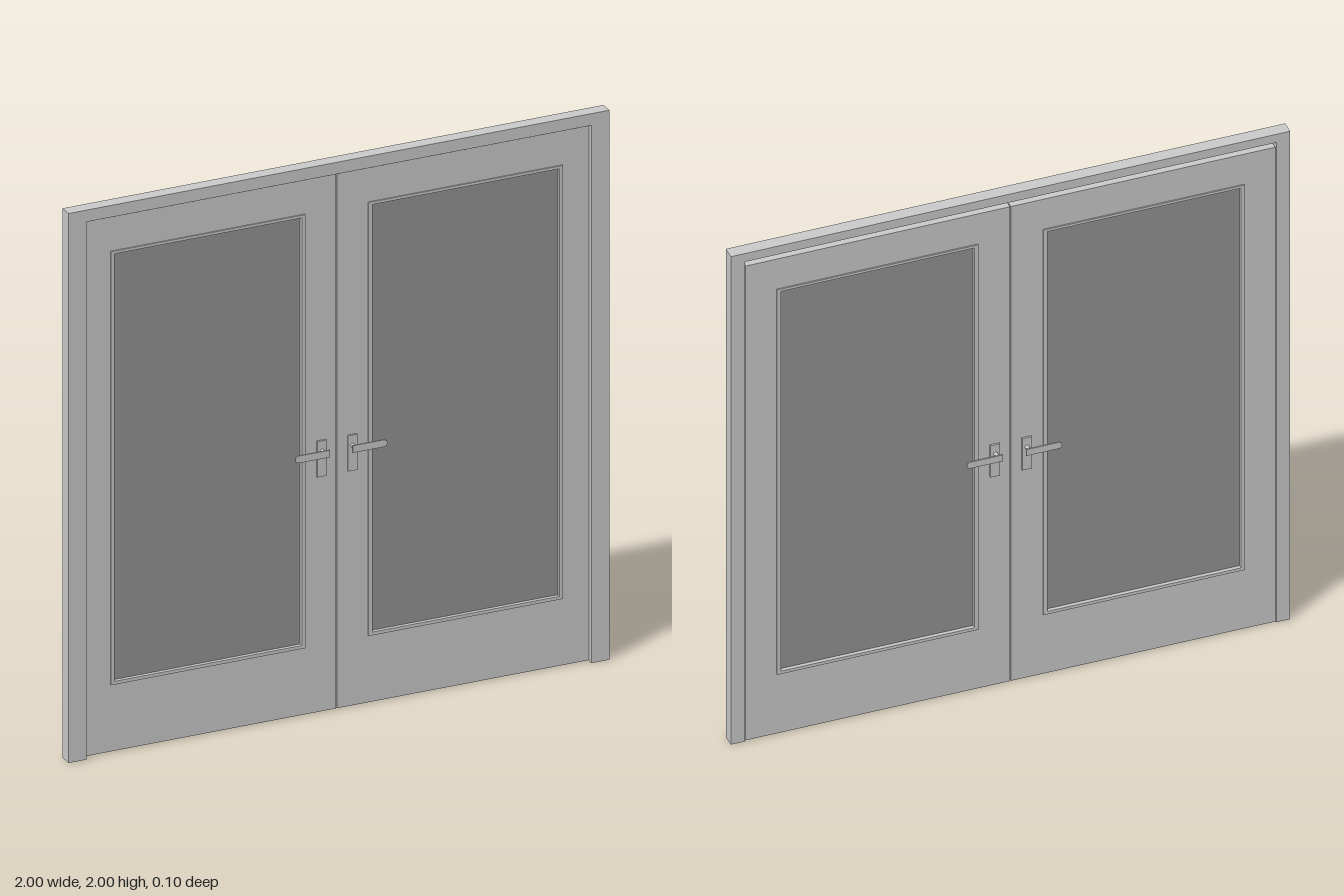
import * as THREE from 'three';

const grey = new THREE.MeshStandardMaterial({ color: 0xcccccc });
const paneGrey = new THREE.MeshStandardMaterial({ color: 0x959595 });

function rectPath(path, x0, y0, x1, y1) {
  path.moveTo(x0, y0);
  path.lineTo(x1, y0);
  path.lineTo(x1, y1);
  path.lineTo(x0, y1);
  path.closePath();
  return path;
}

// Extrude a shape between two depths
function slab(name, shape, z0, z1, material = grey) {
  const geo = new THREE.ExtrudeGeometry(shape, { depth: z1 - z0, bevelEnabled: false, curveSegments: 8 });
  geo.translate(0, 0, z0);
  const mesh = new THREE.Mesh(geo, material);
  mesh.name = name;
  return mesh;
}

function rectRing(outer, inner) {
  const shape = rectPath(new THREE.Shape(), ...outer);
  shape.holes.push(rectPath(new THREE.Path(), ...inner));
  return shape;
}

// Upside-down U: two jambs and a header around the opening
function frameShape(openX, openY) {
  const s = new THREE.Shape();
  [[-1, 0], [-openX, 0], [-openX, openY], [openX, openY], [openX, 0], [1, 0], [1, 2], [-1, 2]]
    .forEach(([x, y], i) => (i ? s.lineTo(x, y) : s.moveTo(x, y)));
  s.closePath();
  return s;
}

// Flat lever with a rounded outer tip
function leverShape(x0, x1, y, r) {
  const s = new THREE.Shape();
  s.moveTo(x0, y - r);
  s.lineTo(x1 - r, y - r);
  s.absarc(x1 - r, y, r, -Math.PI / 2, Math.PI / 2, false);
  s.lineTo(x0, y + r);
  s.closePath();
  return s;
}

// Handle on one face; side is +1 at the front, -1 at the back
function handle(side, mirror) {
  const g = new THREE.Group();
  g.name = side > 0 ? 'frontHandle' : 'backHandle';
  const span = (a, b) => (side > 0 ? [a, b] : [-b, -a]);
  const sx = (a, b) => (mirror > 0 ? [a, b] : [-b, -a]);
  const [p0, p1] = sx(0.04, 0.074);
  g.add(slab('handlePlate', rectPath(new THREE.Shape(), p0, 0.86, p1, 0.99), ...span(0.0125, 0.02)));

  const lever = leverShape(0.042, 0.17, 0.953, 0.013);
  const pts = lever.getPoints(8).map((p) => new THREE.Vector2(p.x * mirror, p.y));
  g.add(slab('lever', new THREE.Shape(pts), ...span(0.047, 0.052)));

  const spindle = new THREE.Mesh(new THREE.CylinderGeometry(0.007, 0.007, 0.03, 16), grey);
  spindle.name = 'spindle';
  spindle.rotation.x = Math.PI / 2;
  spindle.position.set(0.056 * mirror, 0.953, 0.034 * side);
  g.add(spindle);
  return g;
}

// One leaf: panel with window, raised trim, pane and both handles
function doorLeaf(name, mirror) {
  const g = new THREE.Group();
  g.name = name;
  const box = (x0, y0, x1, y1) => (mirror > 0 ? [x0, y0, x1, y1] : [-x1, y0, -x0, y1]);
  const trimOuter = box(0.116, 0.246, 0.836, 1.824);
  const trimInner = box(0.13, 0.258, 0.823, 1.814);
  const opening = box(0.123, 0.252, 0.83, 1.819);

  g.add(slab('doorPanel', rectRing(box(0.0015, 0.003, 0.947, 1.947), opening), -0.013, 0.013));
  g.add(slab('windowTrim', rectRing(trimOuter, trimInner), -0.018, 0.018));
  g.add(slab('windowPane', rectPath(new THREE.Shape(), ...opening), -0.004, 0.004, paneGrey));
  g.add(handle(1, mirror), handle(-1, mirror));
  return g;
}

export function createModel() {
  const model = new THREE.Group();
  model.name = 'doubleDoor';

  // Rebated frame: wide opening behind, narrower stop in front
  const frame = new THREE.Group();
  frame.name = 'doorFrame';
  frame.add(slab('frameRebate', frameShape(0.95, 1.966), -0.0145, 0.0145));
  frame.add(slab('frameStop', frameShape(0.933, 1.957), 0.0145, 0.0335));
  model.add(frame);

  model.add(doorLeaf('leftDoor', 1), doorLeaf('rightDoor', -1));
  return model;
}
